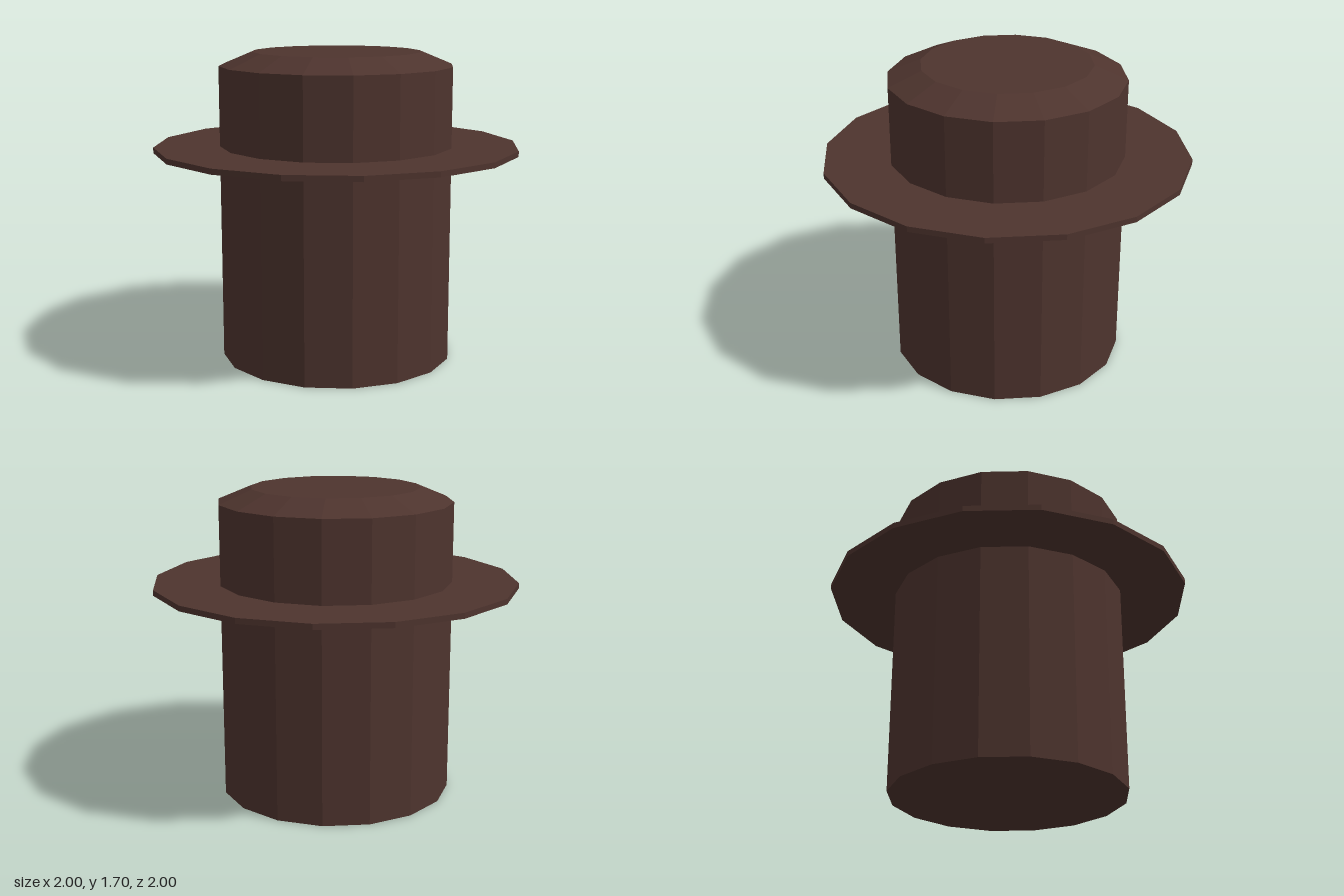
import * as THREE from 'three';

const SIDES = 16;

export function createModel() {
  const group = new THREE.Group();
  const material = new THREE.MeshStandardMaterial({ color: 0x4e342e, flatShading: true });

  // Faceted drum between two heights; corners lie on the x and z axes
  function drum(name, bottomRadius, topRadius, y0, y1, openEnded = false) {
    const geometry = new THREE.CylinderGeometry(topRadius, bottomRadius, y1 - y0, SIDES, 1, openEnded);
    const mesh = new THREE.Mesh(geometry, material);
    mesh.name = name;
    mesh.position.y = (y0 + y1) / 2;
    group.add(mesh);
  }

  // Tall body, closed above by the bevelled cap
  drum('body', 0.64, 0.64, 0, 1.62);
  drum('bevelledCap', 0.64, 0.46, 1.62, 1.695);

  // Thin wide flange around the body
  drum('flange', 1, 1, 1.155, 1.185);

  return group;
}
